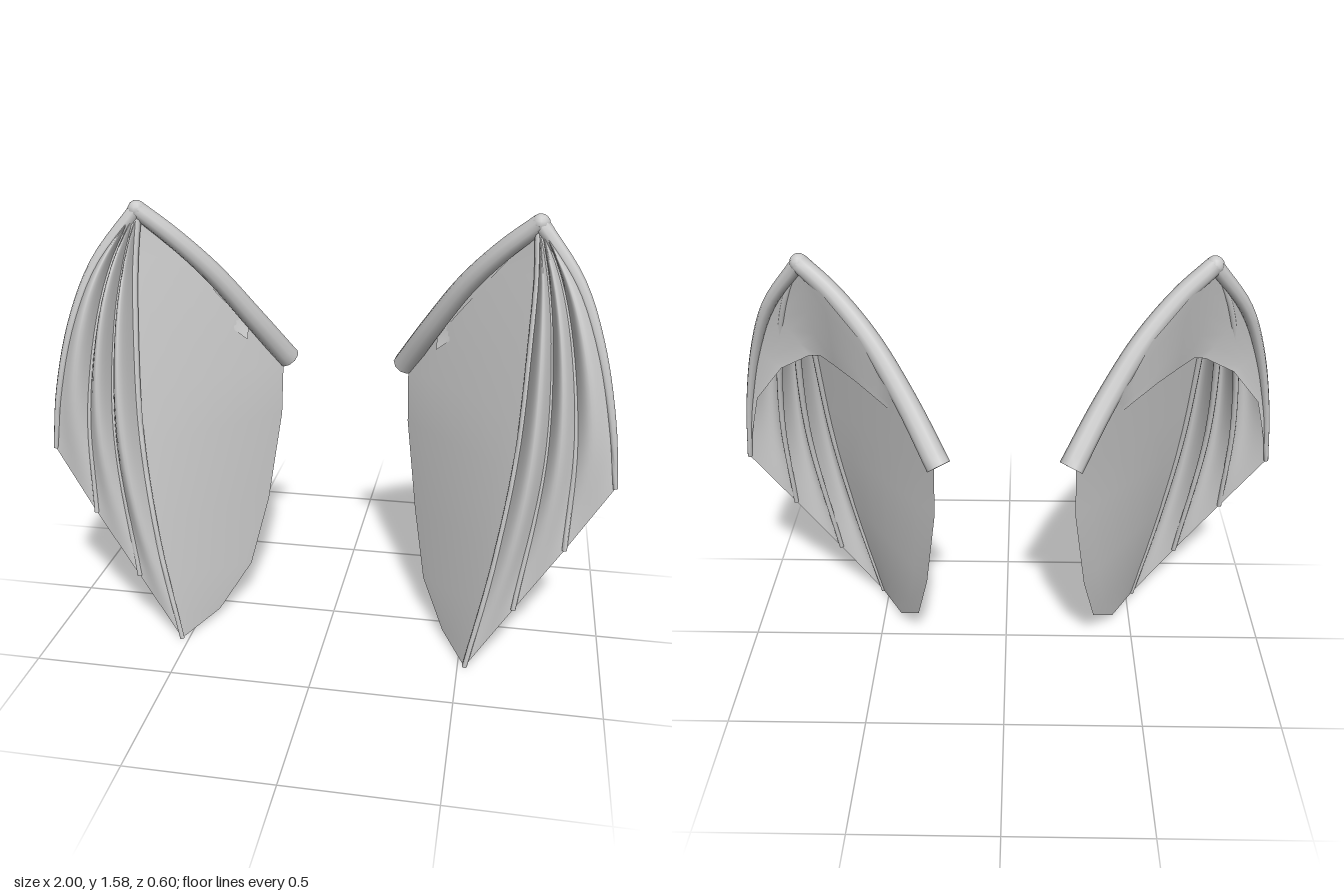
import * as THREE from 'three';
import { toCreasedNormals } from 'three/addons/utils/BufferGeometryUtils.js';

const grey = new THREE.MeshStandardMaterial({ color: 0xcacaca, side: THREE.DoubleSide });
grey.name = 'pale grey';

// Surface from a rule: f(i, j) gives the point in row i, column j
function grid(rows, cols, f) {
  const pos = [], index = [];
  for (let i = 0; i <= rows; i++)
    for (let j = 0; j <= cols; j++) pos.push(...f(i, j).toArray());
  for (let i = 0; i < rows; i++)
    for (let j = 0; j < cols; j++) {
      const a = i * (cols + 1) + j, b = a + cols + 1;
      index.push(a, a + 1, b, b, a + 1, b + 1);
    }
  const g = new THREE.BufferGeometry();
  g.setAttribute('position', new THREE.Float32BufferAttribute(pos, 3));
  g.setIndex(index);
  g.computeVertexNormals();
  return g;
}

// Tapered bone with flat closed ends
function bone(curve, r0, r1, n = 20, sides = 10) {
  const frames = curve.computeFrenetFrames(n);
  const g = grid(n + 2, sides, (i, j) => {
    const k = Math.min(Math.max(i - 1, 0), n);
    const r = i === 0 || i === n + 2 ? 0 : r0 + (r1 - r0) * (k / n);
    const a = (j / sides) * Math.PI * 2;
    return curve.getPointAt(k / n)
      .addScaledVector(frames.normals[k], Math.cos(a) * r)
      .addScaledVector(frames.binormals[k], Math.sin(a) * r);
  });
  return toCreasedNormals(g, 0.9);
}

const WRIST = [0.685, 1.552, 0.025];
const ARM = [[0.222, 0.945, -0.265], [0.33, 1.13, -0.16], [0.455, 1.32, -0.07], [0.58, 1.46, -0.008], WRIST];
const FINGERS = [
  [WRIST, [0.82, 1.375, 0.09], [0.9, 1.18, 0.145], [0.96, 0.93, 0.185], [0.99, 0.71, 0.2]],
  [[0.69, 1.545, 0.03], [0.76, 1.39, 0.08], [0.812, 1.18, 0.14], [0.848, 0.85, 0.197], [0.84, 0.48, 0.235]],
  [[0.685, 1.54, 0.03], [0.72, 1.39, 0.075], [0.748, 1.18, 0.135], [0.755, 0.8, 0.205], [0.682, 0.245, 0.262]],
  [[0.68, 1.535, 0.03], [0.688, 1.4, 0.065], [0.683, 1.2, 0.12], [0.662, 0.8, 0.2], [0.605, 0.4, 0.255], [0.525, 0.005, 0.285]],
];
// Forward swell of each web between fingers
const SWELL = [0.06, 0.075, 0.085];
// Inner edge of the large membrane, wrist to shoulder to lowest tip, with the
// matching position along the last finger as the fourth number
const INNER = [
  [0.68, 1.535, 0.03, 0], [0.56, 1.38, -0.045, 0.1], [0.42, 1.19, -0.125, 0.22], [0.24, 0.93, -0.25, 0.4],
  [0.245, 0.73, -0.232, 0.52], [0.29, 0.39, -0.165, 0.7], [0.34, 0.155, -0.055, 0.84],
  [0.43, 0.03, 0.1, 0.94], [0.525, 0.005, 0.285, 1],
];
// Fold behind the wrist: arched lower edge and the rim along finger and arm
const ARCH = [
  [0.985, 0.74, 0.197], [0.92, 0.98, 0.16], [0.81, 1.12, 0.122], [0.7, 1.18, 0.104], [0.66, 1.185, 0.094],
  [0.6, 1.175, 0.032], [0.52, 1.155, -0.045], [0.44, 1.125, -0.118], [0.35, 1.05, -0.14],
];
const RIM = [
  [0.99, 0.73, 0.2], [0.96, 0.93, 0.185], [0.9, 1.18, 0.145], [0.82, 1.375, 0.09], [0.69, 1.55, 0.015],
  [0.6, 1.46, -0.04], [0.48, 1.33, -0.1], [0.42, 1.22, -0.142], [0.35, 1.12, -0.18],
];

function wing(side) {
  const group = new THREE.Group();
  const point = ([x, y, z]) => new THREE.Vector3(x * side, y, z);
  const curveOf = pts => new THREE.CatmullRomCurve3(pts.map(point));
  const add = (name, geometry) => {
    const mesh = new THREE.Mesh(geometry, grey);
    mesh.name = name;
    group.add(mesh);
    return mesh;
  };

  // Arm, wrist joint and finger bones
  add('armBone', bone(curveOf(ARM), 0.043, 0.032));
  add('wristJoint', new THREE.SphereGeometry(0.032, 12, 8)).position.copy(point(WRIST));
  const fingers = FINGERS.map(curveOf);
  fingers.forEach((c, i) => add('fingerBone' + (i + 1), bone(c, i ? 0.014 : 0.028, 0.009, 20, 8)));

  // Webs between neighbouring fingers, swelling forward
  SWELL.forEach((swell, k) => add('fingerWeb' + (k + 1), grid(18, 10, (i, j) => {
    const t = i / 18, u = j / 10;
    const p = fingers[k].getPointAt(t).lerp(fingers[k + 1].getPointAt(t), u);
    p.z += swell * Math.sin(Math.PI * u) * Math.sin(Math.PI * t ** 0.65);
    return p;
  })));

  // Large membrane from the last finger to the body
  add('innerMembrane', grid(INNER.length - 1, 6, (i, j) =>
    fingers[3].getPointAt(INNER[i][3]).lerp(point(INNER[i]), j / 6)));

  // Fold joining arm and first finger behind the wrist
  add('wristFold', grid(RIM.length - 1, 4, (i, j) => point(ARCH[i]).lerp(point(RIM[i]), j / 4)));
  return group;
}

export function createModel() {
  const model = new THREE.Group();
  model.name = 'wings';
  for (const side of [1, -1]) {
    const w = wing(side);
    w.name = side > 0 ? 'leftWing' : 'rightWing';
    model.add(w);
  }
  return model;
}
